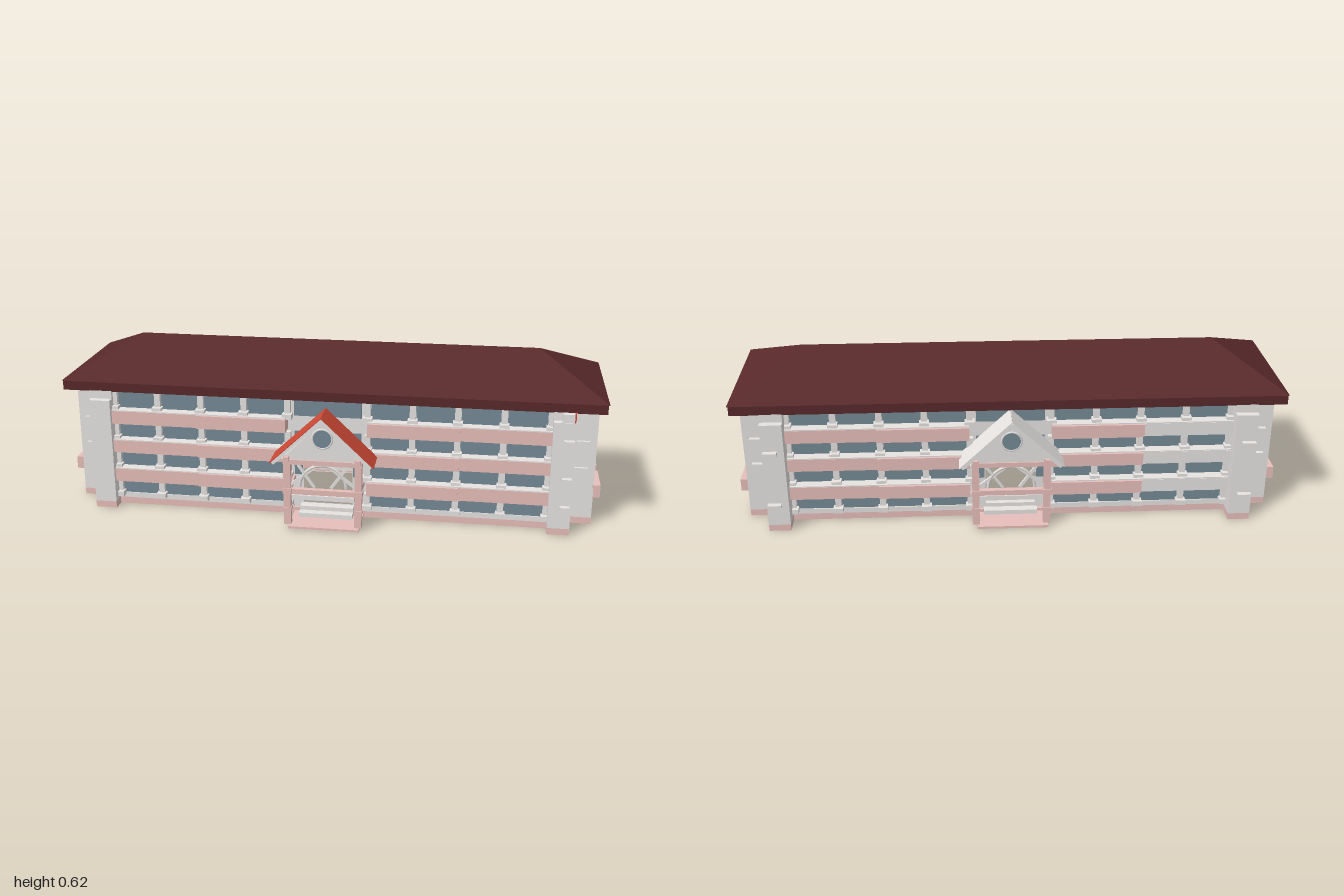
import * as THREE from 'three';

const mat = (name, color) => {
  const m = new THREE.MeshStandardMaterial({ color });
  m.name = name;
  return m;
};

export function createModel() {
  const M = {
    wall: mat('wall plaster', 0xe6e3e1),
    pink: mat('pink panel', 0xf0c6c1),
    glass: mat('window glass', 0x758a96),
    roof: mat('maroon roof', 0x58292b),
    red: mat('porch red', 0xcc4834),
  };
  const model = new THREE.Group();
  model.name = 'longBuilding';

  const add = (parent, name, geo, m) => {
    const mesh = new THREE.Mesh(geo, m);
    mesh.name = name;
    parent.add(mesh);
    return mesh;
  };
  // box given by its extents on each axis
  const box = (parent, name, m, x0, x1, y0, y1, z0, z1) => {
    const mesh = add(parent, name, new THREE.BoxGeometry(x1 - x0, y1 - y0, z1 - z0), m);
    mesh.position.set((x0 + x1) / 2, (y0 + y1) / 2, (z0 + z1) / 2);
    return mesh;
  };
  // square bar between two points in a vertical plane
  const bar = (parent, name, m, x0, y0, x1, y1, z, t) => {
    const mesh = add(parent, name, new THREE.BoxGeometry(Math.hypot(x1 - x0, y1 - y0), t, t), m);
    mesh.position.set((x0 + x1) / 2, (y0 + y1) / 2, z);
    mesh.rotation.z = Math.atan2(y1 - y0, x1 - x0);
    return mesh;
  };
  const rect = (Type, x, y0, y1) =>
    new Type([[-x, y0], [x, y0], [x, y1], [-x, y1]].map((p) => new THREE.Vector2(...p)));

  const floors = [[0.045, 0.1], [0.158, 0.215], [0.272, 0.33], [0.39, 0.458]];
  const bands = [[0.105, 0.155], [0.222, 0.27], [0.336, 0.386]];

  // underside of the hollow main block
  const floor = add(model, 'underside', new THREE.PlaneGeometry(1.64, 0.46), M.pink);
  floor.rotation.x = Math.PI / 2;
  floor.position.z = -0.02;

  // hipped roof
  box(model, 'eaves', M.roof, -0.995, 0.995, 0.458, 0.493, -0.299, 0.233);
  const corners = {
    a: [-1, 0.493, 0.235], b: [1, 0.493, 0.235], c: [1, 0.493, -0.3], d: [-1, 0.493, -0.3],
    l: [-0.76, 0.617, -0.033], r: [0.76, 0.617, -0.033],
  };
  const hip = new THREE.BufferGeometry();
  hip.setAttribute('position', new THREE.Float32BufferAttribute(
    [...'abrarlcdlclrbcrdaladcacb'].flatMap((k) => corners[k]), 3));
  hip.computeVertexNormals();
  add(model, 'hipRoof', hip, M.roof);

  // long facade with an open doorway, wall plane at local z = 0
  const facade = (name, rightOuterMat) => {
    const g = new THREE.Group();
    g.name = name;
    const wall = rect(THREE.Shape, 0.82, 0, 0.46);
    wall.holes.push(rect(THREE.Path, 0.092, 0.045, 0.25));
    add(g, 'wall', new THREE.ShapeGeometry(wall), M.wall);
    box(g, 'plinth', M.pink, -0.82, 0.82, 0, 0.025, 0, 0.01);
    const columns = [0.148, 0.312, 0.475, 0.64, 0.805];
    for (const s of [-1, 1]) {
      const span = (n, m, a, b, y0, y1, z0, z1) =>
        box(g, n, m, Math.min(s * a, s * b), Math.max(s * a, s * b), y0, y1, z0, z1);
      for (const [y0, y1] of floors) {
        for (let i = 0; i < 4; i++) {
          span('window', M.glass, columns[i] + 0.012, columns[i + 1] - 0.012, y0, y1, 0, 0.006);
        }
        for (const x of columns) {
          span('mullion', M.wall, x - 0.011, x + 0.011, y0, y1, 0, 0.02);
          span('sillBlock', M.wall, x - 0.018, x + 0.018, y0 - 0.008, y0 + 0.012, 0, 0.036);
        }
      }
      for (const [y0, y1] of bands) {
        span('outerBalcony', s > 0 ? rightOuterMat : M.pink, 0.485, 0.82, y0, y1, 0, 0.045);
        span('innerBalcony', M.pink, 0.15, 0.485, y0, y1, 0, 0.053);
        span('balconyCap', M.wall, 0.15, 0.82, y1, y1 + 0.004, 0, 0.044);
      }
      span('lowerWall', M.wall, 0.13, 0.82, 0.025, 0.045, 0, 0.01);
      span('doorSideWindow', M.glass, 0.095, 0.125, 0.158, 0.24, 0, 0.006);
    }
    for (const [y0, y1] of floors.slice(2)) box(g, 'stairWindow', M.glass, -0.125, 0.125, y0, y1, 0, 0.006);
    model.add(g);
    return g;
  };
  facade('frontFacade', M.pink).position.z = 0.2;
  const rear = facade('backFacade', M.wall);
  rear.position.z = -0.24;
  rear.rotation.y = Math.PI;

  // pilasters and end wings
  for (const s of [-1, 1]) {
    const end = new THREE.Group();
    end.name = s > 0 ? 'leftEnd' : 'rightEnd';
    model.add(end);
    const put = (n, m, a, b, y0, y1, z0, z1) =>
      box(end, n, m, Math.min(s * a, s * b), Math.max(s * a, s * b), y0, y1, z0, z1);
    put('pilaster', M.wall, 0.81, 0.89, 0.025, 0.43, -0.325, 0.26);
    put('pilasterTop', M.wall, 0.81, 0.89, 0.43, 0.46, -0.3, 0.234);
    put('pilasterPlinth', M.pink, 0.81, 0.89, 0, 0.025, -0.325, 0.26);
    put('wingPlinth', M.pink, 0.89, 0.975, 0, 0.025, -0.21, 0.147);
    put('wingCore', M.wall, 0.89, 0.962, 0.025, 0.46, -0.21, 0.147);
    put('wingPanel', M.wall, 0.962, 0.975, 0.025, 0.46, 0.015, 0.147);
    put('wingPanel', M.wall, 0.962, 0.975, 0.025, 0.46, -0.21, -0.082);
    put('wingFoot', M.wall, 0.962, 0.975, 0.025, 0.048, -0.082, 0.015);

    // vertical strip of windows and panels
    const strip = [[0.048, 0.1, 'glass'], [0.1, 0.16, 'pink'], [0.16, 0.217, 'glass'], [0.217, 0.28, 'pink'],
      [0.28, 0.326, 'glass'], [0.326, 0.395, 'pink'], [0.395, 0.458, 'glass']];
    for (const [y0, y1, k] of strip) {
      put(k === 'glass' ? 'endWindow' : 'endPanel', M[k], 0.962, k === 'glass' ? 0.967 : 0.971, y0, y1, -0.082, 0.015);
    }
    put('endBalcony', M.pink, 0.97, 1, 0.108, 0.155, -0.003, 0.147);
    put('endBalcony', M.pink, 0.97, 1, 0.108, 0.155, -0.21, -0.058);
    put('endBalconyMiddle', M.pink, 0.96, 0.985, 0.1, 0.158, -0.058, -0.003);

    // small ledges on the corners
    for (const y of [0.108, 0.32]) {
      put('pilasterLedge', M.wall, 0.835, 0.885, y - 0.005, y + 0.007, -0.345, -0.325);
    }
    for (const y of [0.217, 0.32]) {
      put('wingLedge', M.wall, 0.9, 0.95, y - 0.005, y + 0.007, -0.226, -0.21);
      put('wingLedge', M.wall, 0.9, 0.95, y - 0.005, y + 0.007, 0.147, 0.158);
    }
  }
  for (const y of [0.108, 0.217, 0.36]) {
    box(model, 'pilasterLedge', M.wall, 0.85, 0.885, y - 0.005, y + 0.007, 0.26, 0.28);
  }
  // small bracket with a red outer face
  box(model, 'bracket', M.wall, 0.84, 0.882, 0.43, 0.46, 0.234, 0.256);
  box(model, 'bracketFace', M.red, 0.882, 0.887, 0.43, 0.462, 0.234, 0.256);

  // gabled porch, growing along local +z
  const porch = (name, roofMat) => {
    const g = new THREE.Group();
    g.name = name;
    box(g, 'porchSlab', M.pink, -0.125, 0.135, 0.004, 0.013, 0.01, 0.156);
    box(g, 'slabUnderside', M.wall, -0.12, 0.13, 0, 0.004, 0.012, 0.151);
    box(g, 'step', M.wall, -0.1, 0.1, 0.013, 0.03, 0.005, 0.07);
    box(g, 'step', M.wall, -0.1, 0.1, 0.03, 0.045, 0.005, 0.04);
    for (const s of [-1, 1]) {
      box(g, 'post', M.pink, s * 0.13 - 0.013, s * 0.13 + 0.013, 0.013, 0.28, 0.112, 0.138);
      box(g, 'postCollar', M.pink, s * 0.13 - 0.016, s * 0.13 + 0.016, 0.07, 0.08, 0.109, 0.141);
      box(g, 'postCollar', M.pink, s * 0.13 - 0.016, s * 0.13 + 0.016, 0.135, 0.155, 0.108, 0.142);
      box(g, 'sideBeam', M.pink, s * 0.13 - 0.009, s * 0.13 + 0.009, 0.135, 0.155, 0, 0.115);
      box(g, 'topBeam', M.pink, s * 0.13 - 0.009, s * 0.13 + 0.009, 0.262, 0.28, 0, 0.15);
      // sloping roof: thin coloured sheet over a plaster board
      for (const [n, m, t, off, len] of [
        ['porchRoof', roofMat, 0.003, 0.0015, 0.26], ['porchRoofBoard', M.wall, 0.012, 0.009, 0.246]]) {
        const p = add(g, n, new THREE.BoxGeometry(len, t, 0.115), m);
        p.position.set(s * (0.095 - off * 0.69), 0.351 - off * 0.72, 0.1075);
        p.rotation.z = -s * Math.atan2(0.18, 0.19);
      }
      // truss braces
      bar(g, 'brace', M.wall, s * 0.12, 0.165, s * 0.02, 0.245, 0.125, 0.01);
      bar(g, 'brace', M.wall, s * 0.03, 0.16, s * 0.09, 0.245, 0.125, 0.01);
    }
    box(g, 'frontBeam', M.pink, -0.13, 0.13, 0.132, 0.152, 0.115, 0.135);
    box(g, 'frontRail', M.wall, -0.115, 0.115, 0.11, 0.128, 0.118, 0.132);
    box(g, 'gableBeam', M.pink, -0.145, 0.145, 0.25, 0.268, 0.112, 0.14);
    const arch = add(g, 'trussArch', new THREE.TorusGeometry(0.085, 0.006, 6, 20, Math.PI), M.wall);
    arch.position.set(0, 0.16, 0.125);

    // gable wall with round window
    const tri = new THREE.Shape([[-0.15, 0.268], [0.15, 0.268], [0, 0.415]].map((p) => new THREE.Vector2(...p)));
    const gable = add(g, 'gableWall', new THREE.ExtrudeGeometry(tri, { depth: 0.02, bevelEnabled: false }), M.wall);
    gable.position.z = 0.115;
    const pane = add(g, 'gableWindow', new THREE.CylinderGeometry(0.034, 0.034, 0.026, 20), M.glass);
    pane.rotation.x = Math.PI / 2;
    pane.position.set(0, 0.352, 0.125);
    const ring = add(g, 'windowRing', new THREE.TorusGeometry(0.036, 0.004, 6, 20), M.wall);
    ring.position.set(0, 0.352, 0.136);
    model.add(g);
    return g;
  };
  porch('frontPorch', M.red).position.z = 0.2;
  const backPorch = porch('backPorch', M.wall);
  backPorch.position.z = -0.2;
  backPorch.rotation.y = Math.PI;

  return model;
}
